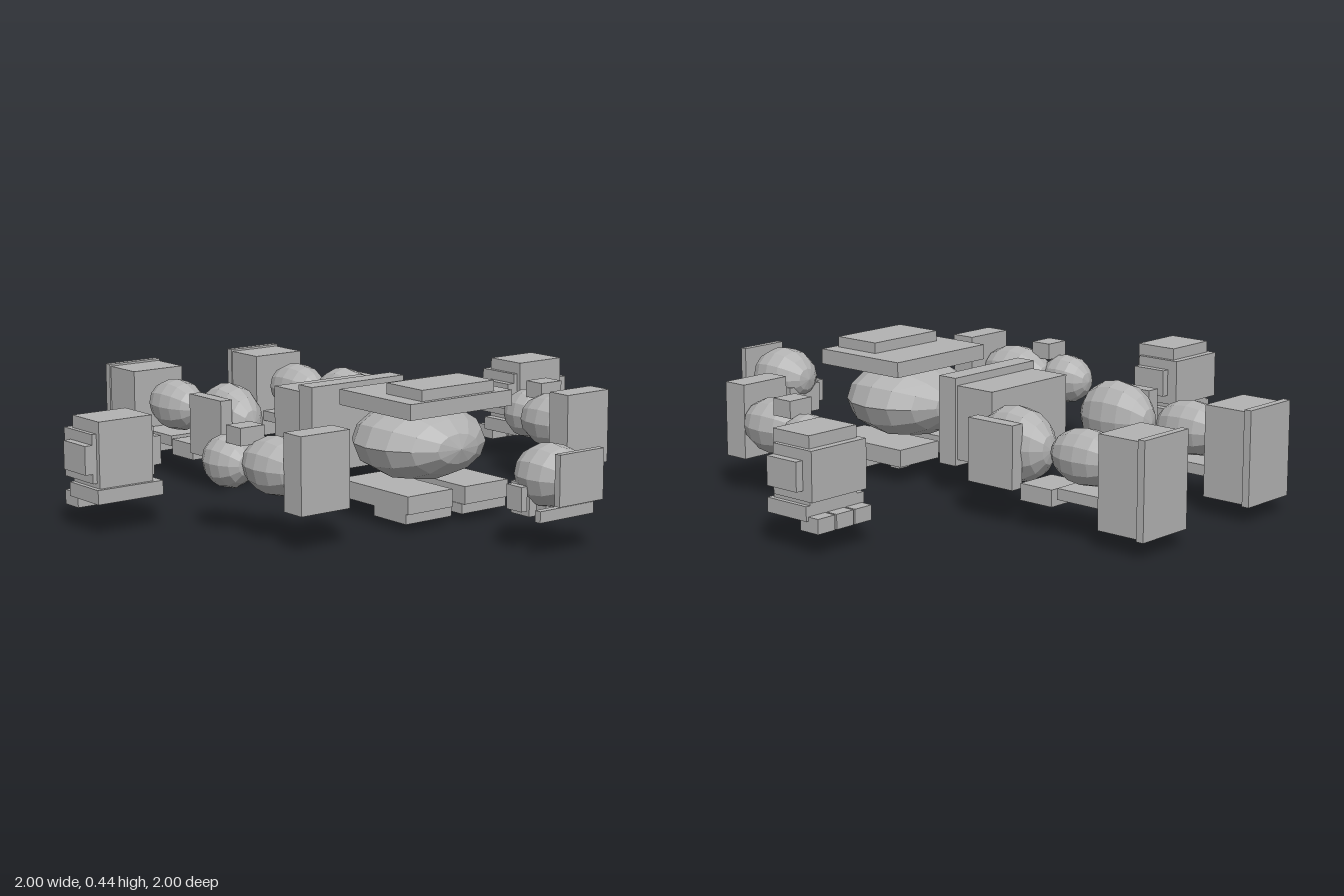
import * as THREE from 'three';

export function createModel() {
  const model = new THREE.Group();
  model.name = 'disassembledRobotKit';
  const grey = new THREE.MeshStandardMaterial({ color: 0xb2b2b2 });
  grey.name = 'plain grey';

  const group = (name) => {
    const g = new THREE.Group();
    g.name = name;
    model.add(g);
    return g;
  };
  const add = (parent, name, geometry) => {
    const mesh = new THREE.Mesh(geometry, grey);
    mesh.name = name;
    parent.add(mesh);
    return mesh;
  };
  // Box from its limits; s = -1 mirrors it across x
  const box = (parent, name, [x0, x1], [y0, y1], [z0, z1], s = 1) =>
    add(parent, name, new THREE.BoxGeometry(x1 - x0, y1 - y0, z1 - z0))
      .position.set(s * (x0 + x1) / 2, (y0 + y1) / 2, (z0 + z1) / 2);
  // Faceted ellipsoid with its poles along z
  const egg = (parent, name, [x, y, z], [rx, ry, rz], s = 1) => {
    const geometry = new THREE.SphereGeometry(1, 12, 8)
      .rotateX(Math.PI / 2).scale(rx, ry, rz).toNonIndexed();
    geometry.computeVertexNormals();
    add(parent, name, geometry).position.set(s * x, y, z);
  };

  // Head
  const head = group('head');
  egg(head, 'skull', [0, 0.228, 0.867], [0.1, 0.098, 0.12]);
  box(head, 'facePlate', [-0.088, 0.088], [0.165, 0.32], [0.975, 0.997]);
  box(head, 'chinBar', [-0.108, 0.108], [0.11, 0.145], [0.915, 0.938]);
  box(head, 'neckBlock', [-0.07, 0.07], [0.107, 0.205], [0.77, 0.85]);
  box(head, 'jawBlock', [-0.04, 0.04], [0.1, 0.15], [0.84, 0.89]);

  // Torso with stacked top plates
  const torso = group('torso');
  egg(torso, 'torsoCore', [0, 0.24, 0.26], [0.217, 0.125, 0.207]);
  box(torso, 'topPlate', [-0.207, 0.207], [0.355, 0.405], [0.12, 0.467]);
  box(torso, 'upperPlate', [-0.147, 0.147], [0.405, 0.44], [0.28, 0.45]);
  box(torso, 'latch', [0.01, 0.06], [0.003, 0.028], [0.26, 0.3]);

  // Hip block with thick front slab
  const hips = group('hips');
  box(hips, 'hipBlock', [-0.18, 0.18], [0.12, 0.36], [-0.26, -0.115]);
  box(hips, 'hipSlab', [-0.19, 0.19], [0.1, 0.385], [-0.115, -0.045]);

  for (const s of [1, -1]) {
    const side = s > 0 ? 'left' : 'right';

    box(head, side + 'Ear', [0.09, 0.113], [0.13, 0.205], [0.797, 0.862], s);
    box(torso, side + 'BottomPlate', [0.025, 0.205], [0.06, 0.117], [0.113, 0.455], s);
    box(torso, side + 'LowerPlate', [0.022, 0.205], [0.028, 0.06], [0.29, 0.445], s);

    // Arm
    const arm = group(side + 'Arm');
    box(arm, 'shoulderBlock', [0.445, 0.627], [0.12, 0.36], [0.388, 0.473], s);
    egg(arm, 'upperArm', [0.57, 0.235, 0.285], [0.094, 0.092, 0.137], s);
    egg(arm, 'forearm', [0.622, 0.227, 0.102], [0.074, 0.084, 0.098], s);
    box(arm, 'elbowBlock', [0.57, 0.66], [0.295, 0.35], [0.142, 0.217], s);

    // Fist with side plates and three fingers
    const fist = group(side + 'Fist');
    box(fist, 'palm', [0.765, 0.957], [0.14, 0.357], [-0.25, -0.1], s);
    box(fist, 'knuckleBlock', [0.75, 0.972], [0.165, 0.318], [-0.275, -0.115], s);
    box(fist, 'fistBase', [0.737, 0.972], [0.105, 0.15], [-0.25, -0.087], s);
    box(fist, 'innerPlate', [0.724, 0.75], [0.195, 0.285], [-0.238, -0.115], s);
    box(fist, 'outerPlate', [0.972, 0.998], [0.195, 0.285], [-0.238, -0.115], s);
    for (const x of [0.78, 0.855, 0.93])
      box(fist, 'finger', [x - 0.034, x + 0.034], [0.072, 0.118], [-0.29, -0.217], s);

    // Leg and foot
    const leg = group(side + 'Leg');
    egg(leg, 'thigh', [0.244, 0.235, -0.423], [0.09, 0.12, 0.138], s);
    box(leg, 'thighPlate', [0.31, 0.355], [0.12, 0.32], [-0.497, -0.318], s);
    box(leg, 'kneePlate', [0.19, 0.335], [0.09, 0.143], [-0.635, -0.512], s);
    egg(leg, 'shin', [0.258, 0.242, -0.71], [0.08, 0.088, 0.13], s);
    box(leg, 'shinPlate', [0.19, 0.328], [0.115, 0.15], [-0.835, -0.65], s);
    box(leg, 'foot', [0.16, 0.357], [0.06, 0.35], [-0.975, -0.828], s);
    box(leg, 'sole', [0.156, 0.362], [0.055, 0.357], [-1.0, -0.975], s);
  }
  return model;
}
